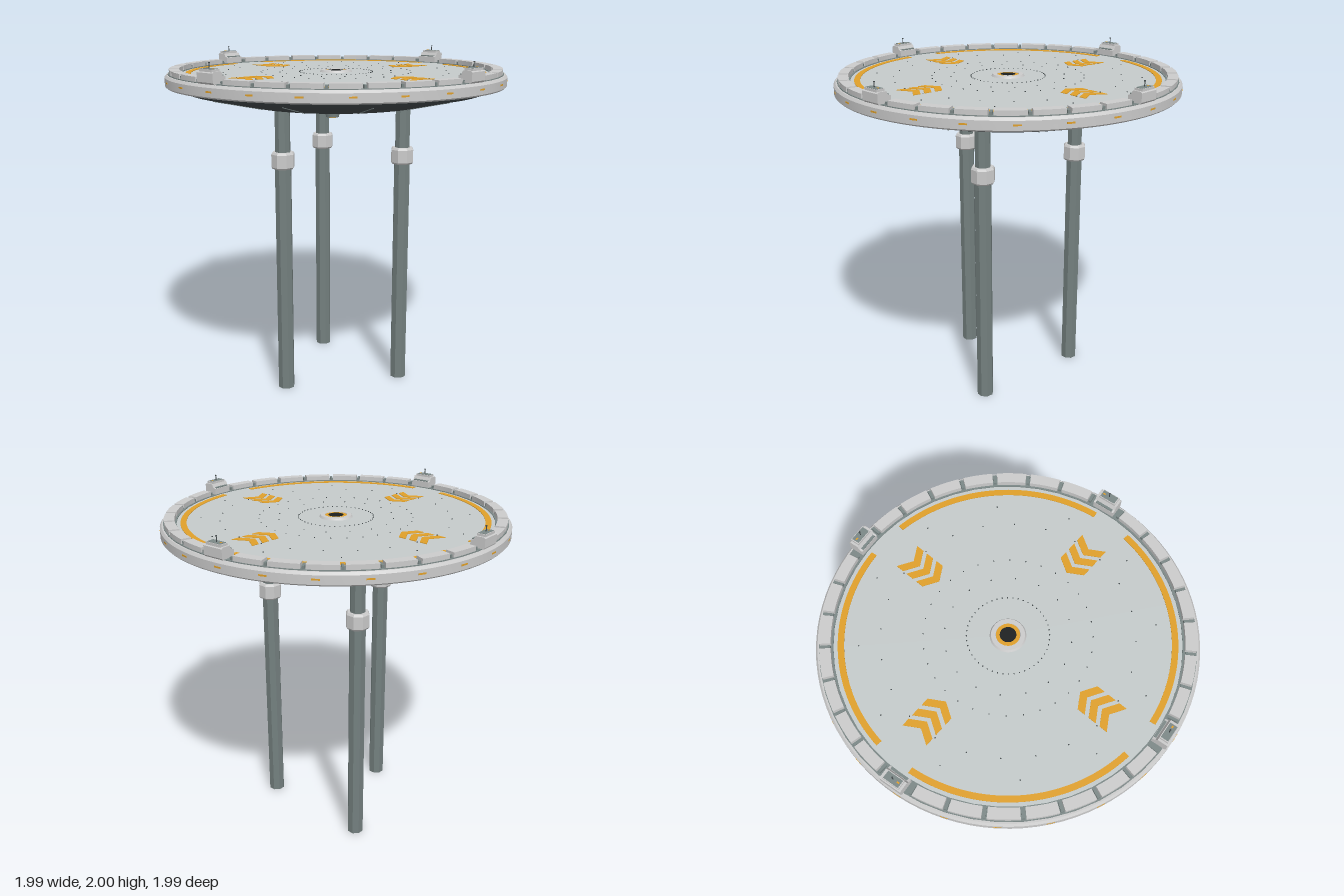
import * as THREE from 'three';
import { mergeGeometries, toCreasedNormals } from 'three/addons/utils/BufferGeometryUtils.js';

const mat = (color, extra = {}) => new THREE.MeshStandardMaterial({ color, ...extra });
const PALE = mat(0xd2d5d5), DECK = mat(0xc5cbcb), MID = mat(0x7c8887), DARK = mat(0x454c4e);
const ORANGE = mat(0xe0a02a), BLACK = mat(0x1c1f20);
const LEG = mat(0x74807f, { flatShading: true }), COLLAR = mat(0xcdd1d1, { flatShading: true });
const DEG = Math.PI / 180, TOP = 1.89;

function add(parent, name, geometry, material) {
  const mesh = new THREE.Mesh(geometry, material);
  mesh.name = name;
  parent.add(mesh);
  return mesh;
}

// Lathe with crisp profile edges; points are [radius, y], bottom to top
function lathe(points, segments = 96) {
  const g = new THREE.LatheGeometry(points.map(([r, y]) => new THREE.Vector2(r, y)), segments);
  return toCreasedNormals(g, 0.2);
}

// Flat shape (x, -z) raised from height y
function slab(shape, y, height) {
  return new THREE.ExtrudeGeometry(shape, { depth: height, bevelEnabled: false, curveSegments: 24 })
    .rotateX(-Math.PI / 2).translate(0, y, 0);
}

// Ring sector, angles in degrees
function sector(r0, r1, a0, a1) {
  const s = new THREE.Shape();
  s.absarc(0, 0, r1, a0 * DEG, a1 * DEG, false);
  s.absarc(0, 0, r0, a1 * DEG, a0 * DEG, true);
  return s;
}

// Moves a geometry outward by r and turns it round the axis; degrees from the front
const around = (g, deg, r = 0) => g.translate(0, 0, r).rotateY(deg * DEG);
const box = (w, h, d, x, y, z) => new THREE.BoxGeometry(w, h, d).translate(x, y, z);

function repeat(count, make) {
  return mergeGeometries(Array.from({ length: count }, (_, i) => make(i)));
}

function buildDisc(g) {
  add(g, 'undersideHull', lathe([[0, 1.685], [0.31, 1.685], [0.55, 1.716], [0.87, 1.787], [0.975, 1.822]]), DARK);
  add(g, 'rim', lathe([[0.965, 1.818], [0.985, 1.82], [0.993, 1.828], [0.993, 1.876], [0.982, TOP], [0.9, TOP]]), PALE);
  add(g, 'deck', lathe([[0.905, TOP], [0, TOP]]), DECK);
  add(g, 'rimDashes', repeat(24, i => around(box(0.042, 0.009, 0.006, 0, 1.855, 0), 7.5 + i * 15, 0.991)), ORANGE);
  // Radial seams under the hull
  add(g, 'hullSeams', repeat(12, i => {
    const seam = new THREE.BoxGeometry(0.005, 0.004, 0.33).rotateX(-Math.atan2(0.071, 0.32));
    return around(seam.translate(0, 1.7505, 0), i * 30, 0.71);
  }), MID);
}

function buildRail(g) {
  add(g, 'railChannel', slab(sectorRing(0.9, 0.974), TOP - 0.004, 0.008), MID);
  const step = 360 / 32;
  const segments = [];
  for (let i = 0; i < 32; i++) {
    if (i % 8 === 0) continue; // equipment box stands here
    const a = -90 + i * step;
    segments.push(slab(sector(0.909, 0.967, a + 0.8, a + step - 0.8), TOP, 0.03));
  }
  add(g, 'railSegments', mergeGeometries(segments), PALE);
  add(g, 'railPosts', repeat(32, i => around(box(0.014, 0.02, 0.05, 0, TOP + 0.01, 0), i * step, 0.938)), MID);
}

function sectorRing(r0, r1) {
  const s = new THREE.Shape();
  s.absarc(0, 0, r1, 0, Math.PI * 2, false);
  const hole = new THREE.Path();
  hole.absarc(0, 0, r0, 0, Math.PI * 2, true);
  s.holes.push(hole);
  return s;
}

function buildMarkings(g) {
  add(g, 'warningArcs', repeat(4, i => slab(sector(0.845, 0.878, i * 90 + 7, i * 90 + 83), TOP, 0.003)), ORANGE);
  // Three chevrons on each side, pointing at the centre
  const chevron = new THREE.Shape([[-0.08, -0.045], [-0.08, 0], [0, 0.048], [0.08, 0], [0.08, -0.045], [0, 0.003]]
    .reverse().map(([x, y]) => new THREE.Vector2(x, y)));
  add(g, 'chevrons', repeat(12, i =>
    around(slab(chevron, TOP, 0.003), Math.floor(i / 3) * 90, 0.527 + (i % 3) * 0.07 + 0.0)), ORANGE);
  // Small bolts in rings
  const bolts = [];
  for (const [r, n] of [[0.215, 48], [0.33, 16], [0.44, 32], [0.66, 24], [0.77, 12]]) {
    for (let i = 0; i < n; i++) {
      bolts.push(around(new THREE.CylinderGeometry(0.0035, 0.0035, 0.004, 6).translate(0, TOP + 0.001, 0), (i + 0.5) * 360 / n, r));
    }
  }
  add(g, 'deckBolts', mergeGeometries(bolts), DARK);
}

function buildHubs(g) {
  add(g, 'topHubRing', lathe([[0.095, TOP], [0.088, 1.902], [0.064, 1.902], [0.06, TOP]], 48), PALE);
  add(g, 'topHubBand', lathe([[0.066, 1.898], [0.04, 1.898]], 48), ORANGE);
  add(g, 'topHubEye', lathe([[0.043, 1.9], [0, 1.9]], 48), BLACK);
  add(g, 'lowerHub', lathe([[0.066, 1.65], [0.072, 1.648], [0.115, 1.688]], 24), DARK);
  add(g, 'lowerHubBand', lathe([[0.035, 1.651], [0.068, 1.651]], 24), ORANGE);
  add(g, 'lowerHubEye', lathe([[0, 1.65], [0.04, 1.65]], 24), BLACK);
  // Four lamps on the diagonals of the underside
  for (let i = 0; i < 4; i++) {
    const lamp = new THREE.Group();
    lamp.name = 'undersideLamp';
    add(lamp, 'lampHousing', new THREE.CylinderGeometry(0.042, 0.036, 0.03, 12).translate(0, 1.693, 0), MID);
    add(lamp, 'lampLens', new THREE.CylinderGeometry(0.022, 0.022, 0.006, 12).translate(0, 1.677, 0), ORANGE);
    const a = (45 + i * 90) * DEG;
    lamp.position.set(0.39 * Math.sin(a), 0, 0.39 * Math.cos(a));
    g.add(lamp);
  }
}

// Equipment box: side profile extruded across its width, outer side towards +z
function buildEquipmentBox() {
  const b = new THREE.Group();
  b.name = 'equipmentBox';
  const side = new THREE.Shape([[0.903, 1.885], [0.972, 1.885], [0.986, 1.9], [0.986, 1.948], [0.978, 1.955], [0.93, 1.955], [0.92, 1.935], [0.903, 1.93]]
    .map(([z, y]) => new THREE.Vector2(-z, y)).reverse());
  const body = new THREE.ExtrudeGeometry(side, { depth: 0.125, bevelEnabled: false });
  add(b, 'boxBody', body.rotateY(Math.PI / 2).translate(-0.0625, 0, 0), PALE);
  add(b, 'boxCap', box(0.1, 0.014, 0.05, 0, 1.96, 0.955), PALE);
  add(b, 'boxTopPanel', box(0.088, 0.004, 0.042, 0, 1.967, 0.955), MID);
  add(b, 'boxConsole', box(0.1, 0.006, 0.014, 0, 1.934, 0.911), MID);
  add(b, 'boxMarker', box(0.014, 0.003, 0.008, 0.03, 1.969, 0.955), ORANGE);
  add(b, 'aerial', new THREE.CylinderGeometry(0.0022, 0.003, 0.033, 6).translate(0, 1.983, 0.955), DARK);
  add(b, 'aerialTip', new THREE.CylinderGeometry(0.005, 0.005, 0.005, 6).translate(0, 1.9975, 0.955), DARK);
  return b;
}

function buildLeg() {
  const leg = new THREE.Group();
  leg.name = 'leg';
  const tube = (r0, r1, y0, y1) => new THREE.CylinderGeometry(r1, r0, y1 - y0, 8)
    .rotateY(Math.PI / 8).translate(0, (y0 + y1) / 2, 0);
  add(leg, 'lowerTube', tube(0.049, 0.049, 0, 1.38), LEG);
  add(leg, 'upperTube', tube(0.045, 0.045, 1.38, 1.71), LEG);
  add(leg, 'collar', mergeGeometries([
    tube(0.061, 0.069, 1.365, 1.375), tube(0.069, 0.069, 1.375, 1.45), tube(0.069, 0.061, 1.45, 1.462),
  ]), COLLAR);
  return leg;
}

export function createModel() {
  const model = new THREE.Group();
  model.name = 'landingPlatform';
  buildDisc(model);
  buildRail(model);
  buildMarkings(model);
  buildHubs(model);
  for (let i = 0; i < 4; i++) {
    const b = buildEquipmentBox();
    b.rotation.y = (5.625 + i * 90) * DEG;
    model.add(b);
  }
  for (const deg of [30, 150, 270]) {
    const leg = buildLeg();
    leg.position.set(0.41 * Math.sin(deg * DEG), 0, 0.41 * Math.cos(deg * DEG));
    model.add(leg);
  }
  return model;
}
